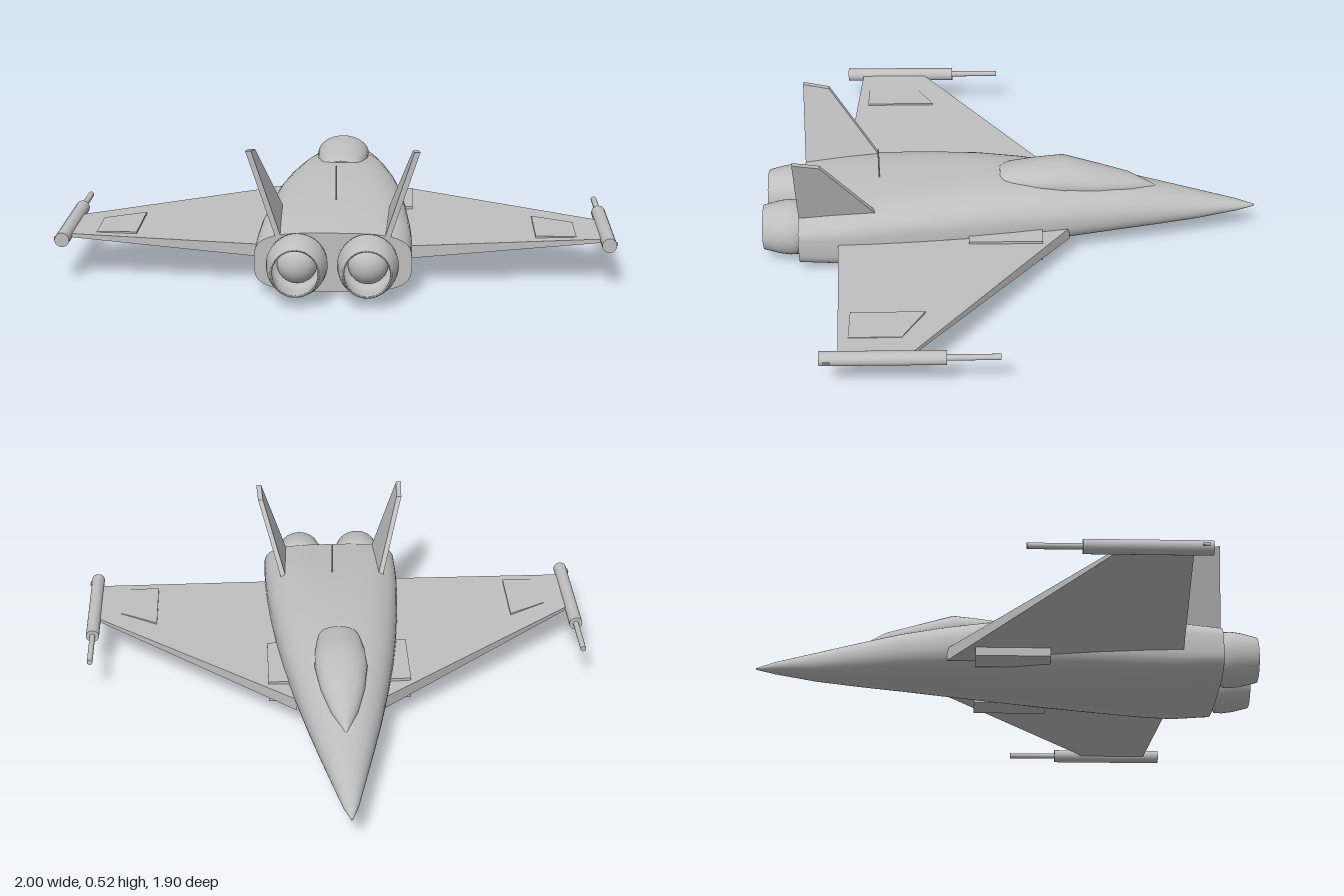
import * as THREE from 'three';

const grey = new THREE.MeshStandardMaterial({ color: 0xbfbfbf });
grey.name = 'airframe grey';

// Closed skin through rounded cross-sections: [z, halfWidth, bottom, top, squareness]
function loft(sections, sides = 48) {
  const pos = [], index = [];
  const ring = ([z, w, lo, hi, n]) => {
    for (let j = 0; j < sides; j++) {
      const a = (j / sides) * Math.PI * 2, c = Math.cos(a), s = Math.sin(a);
      pos.push(w * Math.sign(c) * Math.abs(c) ** (2 / n),
        (lo + hi) / 2 + (hi - lo) / 2 * Math.sign(s) * Math.abs(s) ** (2 / n), z);
    }
  };
  sections.forEach(ring);
  for (let i = 0; i < sections.length - 1; i++) {
    for (let j = 0; j < sides; j++) {
      const k = (j + 1) % sides, a = i * sides, b = a + sides;
      index.push(a + j, a + k, b + k, a + j, b + k, b + j);
    }
  }
  // flat end caps with their own vertices
  [sections[0], sections[sections.length - 1]].forEach((sec, end) => {
    const start = pos.length / 3;
    ring(sec);
    pos.push(0, (sec[2] + sec[3]) / 2, sec[0]);
    for (let j = 0; j < sides; j++) {
      const a = start + j, b = start + (j + 1) % sides;
      index.push(start + sides, end ? a : b, end ? b : a);
    }
  });
  const g = new THREE.BufferGeometry();
  g.setAttribute('position', new THREE.Float32BufferAttribute(pos, 3));
  g.setIndex(index);
  g.computeVertexNormals();
  return g;
}

// Moves every vertex by a rule, then refreshes the normals
function bend(g, rule) {
  const p = g.attributes.position, v = new THREE.Vector3();
  for (let i = 0; i < p.count; i++) {
    rule(v.fromBufferAttribute(p, i));
    p.setXYZ(i, v.x, v.y, v.z);
  }
  g.computeVertexNormals();
  return g;
}

// Mirror image across x = 0 with corrected winding
function mirror(src) {
  const g = src.index ? src.toNonIndexed() : src.clone();
  for (const name of ['position', 'normal']) {
    const a = g.attributes[name], p = new THREE.Vector3(), q = new THREE.Vector3();
    for (let i = 0; i < a.count; i += 3) {
      p.fromBufferAttribute(a, i + 1);
      q.fromBufferAttribute(a, i + 2);
      a.setXYZ(i + 1, q.x, q.y, q.z);
      a.setXYZ(i + 2, p.x, p.y, p.z);
    }
    for (let i = 0; i < a.count; i++) a.setX(i, -a.getX(i));
  }
  return g;
}

const extrude = (points, depth) => new THREE.ExtrudeGeometry(
  new THREE.Shape(points.map(([x, y]) => new THREE.Vector2(x, y))), { depth, bevelEnabled: false });

// Rod along z
function rod(r, z0, z1, x, y) {
  return new THREE.CylinderGeometry(r, r, z1 - z0, 24).rotateX(Math.PI / 2).translate(x, y, (z0 + z1) / 2);
}

function block(x0, x1, y0, y1, z0, z1) {
  return new THREE.BoxGeometry(x1 - x0, y1 - y0, z1 - z0)
    .translate((x0 + x1) / 2, (y0 + y1) / 2, (z0 + z1) / 2);
}

export function createModel() {
  const model = new THREE.Group();
  model.name = 'jetAircraft';
  const add = (name, g) => {
    const m = new THREE.Mesh(g, grey);
    m.name = name;
    model.add(m);
  };
  const addPair = (name, g) => {
    add(name + 'Left', g);
    add(name + 'Right', mirror(g));
  };

  // Fuselage, pointed at -z and flat at the tail
  add('fuselage', loft([
    [-0.95, 0.003, 0.12, 0.126, 2],
    [-0.88, 0.028, 0.105, 0.148, 2],
    [-0.72, 0.066, 0.08, 0.185, 2.05],
    [-0.56, 0.105, 0.066, 0.22, 2.1],
    [-0.4, 0.142, 0.056, 0.252, 2.2],
    [-0.22, 0.178, 0.043, 0.276, 2.3],
    [-0.02, 0.213, 0.03, 0.291, 2.45],
    [0.14, 0.235, 0.02, 0.296, 2.6],
    [0.35, 0.256, 0.011, 0.284, 2.9],
    [0.54, 0.27, 0.004, 0.268, 3.2],
    [0.66, 0.275, 0.003, 0.252, 3.4],
    [0.81, 0.275, 0.018, 0.23, 3.5],
  ]));

  // Canopy bubble
  add('canopy', loft([
    [-0.56, 0.004, 0.2, 0.222, 2],
    [-0.455, 0.05, 0.2, 0.275, 2],
    [-0.33, 0.082, 0.2, 0.306, 2],
    [-0.2, 0.1, 0.2, 0.343, 2],
    [-0.1, 0.095, 0.22, 0.33, 2],
    [0, 0.08, 0.24, 0.315, 2],
    [0.03, 0.072, 0.24, 0.306, 2],
    [0.045, 0.05, 0.25, 0.298, 2],
  ], 32));

  // Antenna
  add('antenna', new THREE.CylinderGeometry(0.003, 0.003, 0.14, 8).translate(0, 0.325, 0.51));

  // Swept wing, thinning and rising towards the tip
  const wing = extrude([[0.17, 0.22], [0.17, -0.665], [0.96, -0.62], [0.96, -0.37]], 1).rotateX(-Math.PI / 2);
  addPair('wing', bend(wing, (v) => {
    const t = (v.x - 0.17) / 0.79;
    v.y = 0.115 + 0.043 * t + (v.y - 0.5) * (0.05 - 0.037 * t);
  }));

  // Level panel standing slightly proud of the wing
  addPair('wingPanel', extrude([[0.715, -0.32], [0.715, -0.59], [0.86, -0.59], [0.86, -0.4]], 0.009)
    .rotateX(-Math.PI / 2).translate(0, 0.155, 0));

  // Wing tip stores
  addPair('tipPod', rod(0.026, 0.24, 0.685, 0.969, 0.158));
  addPair('tipProbe', rod(0.011, 0.05, 0.25, 0.969, 0.158));
  addPair('tipNub', block(0.98, 1, 0.154, 0.162, 0.645, 0.67));

  // Boxes at the wing roots
  addPair('rootBox', block(0.17, 0.275, 0.065, 0.153, -0.115, 0.165));

  // Tail fins canted outwards
  const fin = extrude([[0.47, 0.18], [0.81, 0.18], [0.81, 0.52], [0.71, 0.503]], 0.02)
    .rotateY(-Math.PI / 2).translate(0.01, 0, 0);
  addPair('tailFin', bend(fin, (v) => { v.x += 0.195 + (v.y - 0.23) * 0.33; }));

  // Hollow engine nozzles with a domed centre body
  const outline = [[0.098, 0.78], [0.098, 0.82], [0.105, 0.822], [0.107, 0.85], [0.102, 0.89],
    [0.086, 0.952], [0.078, 0.952], [0.086, 0.9], [0.086, 0.83], [0.001, 0.83]];
  const facets = [];
  for (let i = 0; i < outline.length - 1; i++) {
    facets.push([outline[i], outline[i + 1]]);
  }
  const nozzle = new THREE.LatheGeometry(
    outline.map(([r, z]) => new THREE.Vector2(r, z)), 40).rotateX(Math.PI / 2).translate(0.123, 0.126, 0);
  addPair('engineNozzle', nozzle);
  addPair('engineCentreBody', new THREE.SphereGeometry(0.07, 32, 12, 0, Math.PI * 2, 0, Math.PI / 2)
    .rotateX(Math.PI / 2).scale(1, 1, 0.9).translate(0.123, 0.126, 0.83));

  return model;
}
